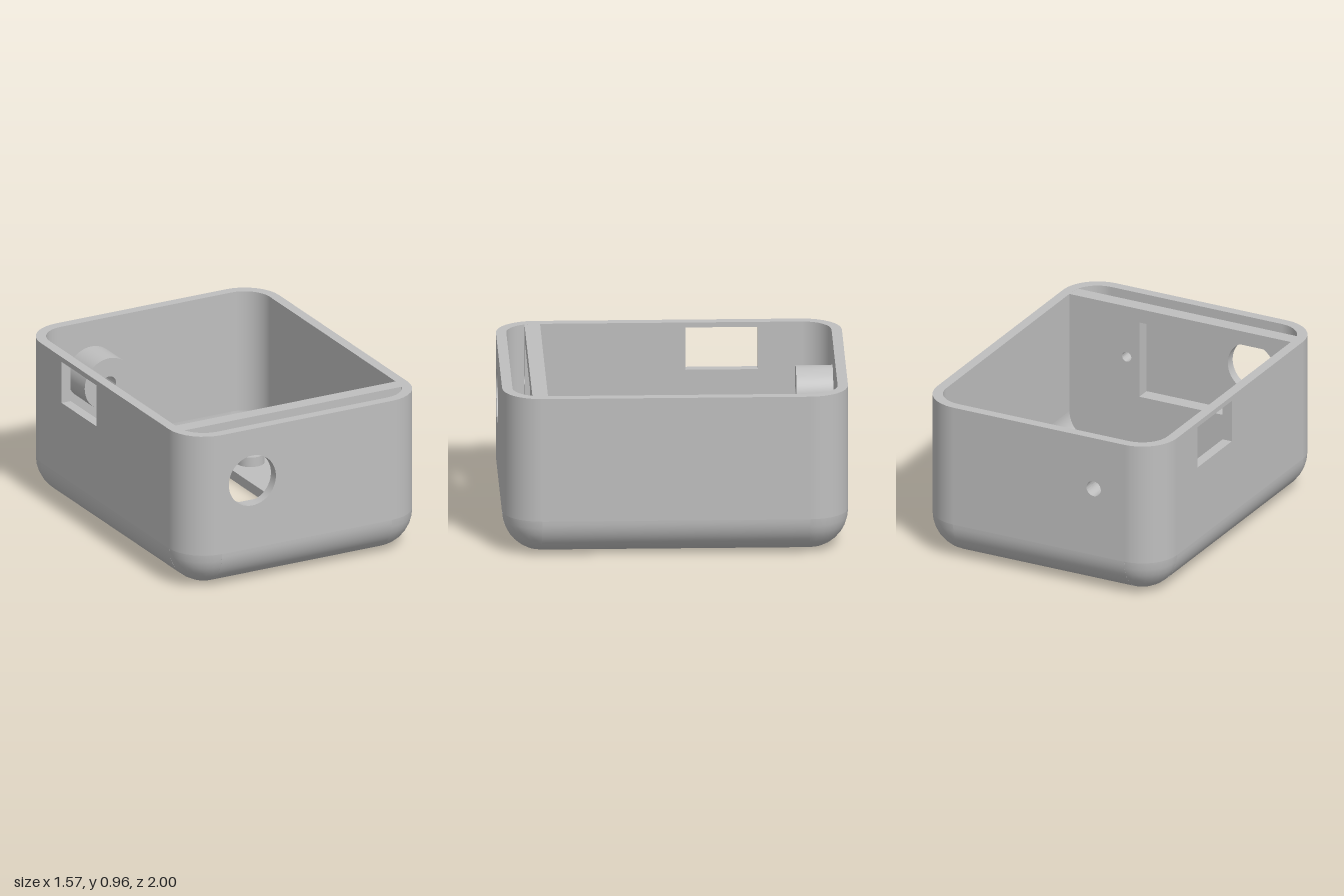
import * as THREE from 'three';
import { toCreasedNormals } from 'three/addons/utils/BufferGeometryUtils.js';

const HX = 0.785, HZ = 1, H = 0.965;   // half width, half depth, height
const T = 0.06, R = 0.225, RI = R - T; // wall thickness, outer and inner radius
const SEG = 8;

// Rectangle outline, with optional holes
function rect(x0, y0, x1, y1, Kind = THREE.Shape) {
  const s = new Kind();
  s.moveTo(x0, y0);
  s.lineTo(x1, y0);
  s.lineTo(x1, y1);
  s.lineTo(x0, y1);
  s.closePath();
  return s;
}

function disc(x, y, r, Kind = THREE.Path) {
  const s = new Kind();
  s.absarc(x, y, r, 0, Math.PI * 2, false);
  return s;
}

// Extruded slab with sharp edges and smooth curves
function slab(shape, depth, holes = [], segments = 24) {
  shape.holes.push(...holes);
  const g = new THREE.ExtrudeGeometry(shape, { depth, bevelEnabled: false, curveSegments: segments });
  return toCreasedNormals(g, 0.6);
}

export function createModel() {
  const model = new THREE.Group();
  model.name = 'enclosure';
  const grey = new THREE.MeshStandardMaterial({ color: 0xbfbfbf, side: THREE.DoubleSide });
  grey.name = 'grey plastic';

  const add = (name, geometry, x = 0, y = 0, z = 0, parent = model) => {
    const mesh = new THREE.Mesh(geometry, grey);
    mesh.name = name;
    mesh.position.set(x, y, z);
    parent.add(mesh);
    return mesh;
  };

  const fx = HX - R, fz = HZ - R; // half extents of the flat panels
  const portX = -0.36, portY = 0.645;

  // Flat walls
  add('frontWall', slab(rect(-fx, R, fx, H), T, [disc(portX, portY, 0.155)], 32), 0, 0, HZ - T);
  add('backWall', slab(rect(-fx, R, fx, H), T, [disc(portX, portY, 0.047)]), 0, 0, -HZ);
  add('leftWall', slab(rect(-fz, R, fz, H), T).rotateY(Math.PI / 2), HX - T);
  add('rightWall', slab(rect(-fz, R, fz, H), T, [rect(0.1, 0.68, 0.52, 0.935, THREE.Path)])
    .rotateY(Math.PI / 2), -HX);

  // Floor with its large opening
  add('floor', slab(rect(-fx, -fz, fx, fz), T, [rect(-0.23, -0.53, 0.325, 0.54, THREE.Path)])
    .rotateX(-Math.PI / 2));

  // Rounded bottom edges and rounded corners
  const outer = [], inner = [];
  for (let i = 0; i <= SEG; i++) {
    const a = (i / SEG) * Math.PI / 2;
    outer.push(new THREE.Vector2(R * Math.sin(a), R - R * Math.cos(a)));
    inner.unshift(new THREE.Vector2(RI * Math.sin(a), R - RI * Math.cos(a)));
  }
  outer.push(new THREE.Vector2(R, R + 0.001), new THREE.Vector2(R, H));
  inner.unshift(new THREE.Vector2(RI, H), new THREE.Vector2(RI, R + 0.001));
  const rim = [new THREE.Vector2(R, H), new THREE.Vector2(RI, H)];

  for (let k = 0; k < 4; k++) {
    const phi = k * Math.PI / 2;
    const [len, dist] = k % 2 ? [2 * fz, fx] : [2 * fx, fz];
    const sector = new THREE.Shape();
    sector.absarc(0, 0, R, Math.PI, 1.5 * Math.PI, false);
    sector.absarc(0, 0, RI, 1.5 * Math.PI, Math.PI, true);
    sector.closePath();
    const edge = slab(sector, len, [], SEG)
      .translate(0, 0, -len / 2)
      .rotateY(Math.PI / 2)
      .translate(0, R, dist)
      .rotateY(phi);
    add('bottomEdge', edge);

    const corner = new THREE.Group();
    corner.name = 'corner';
    const mid = phi + Math.PI / 4;
    corner.position.set(Math.sign(Math.sin(mid)) * fx, 0, Math.sign(Math.cos(mid)) * fz);
    for (const [name, profile] of [['cornerOuter', outer], ['cornerRim', rim], ['cornerInner', inner]]) {
      add(name, new THREE.LatheGeometry(profile, SEG, phi, Math.PI / 2), 0, 0, 0, corner);
    }
    model.add(corner);
  }

  // Divider behind the front wall, with a window and two screw holes
  const w = HX - T;
  const divider = new THREE.Shape();
  divider.moveTo(w, H - 0.0005);
  divider.lineTo(-w, H - 0.0005);
  divider.absarc(-fx, R, RI, Math.PI, 1.5 * Math.PI, false);
  divider.absarc(fx, R, RI, 1.5 * Math.PI, 2 * Math.PI, false);
  divider.closePath();
  add('divider', slab(divider, 0.09, [
    rect(-0.6, 0.41, 0.268, 0.88, THREE.Path),
    disc(0.35, portY, 0.03),
    disc(-0.682, portY, 0.03),
  ]), 0, 0, 0.74);

  // Hollow boss on the back wall
  add('backBoss', slab(disc(0, 0, 0.16, THREE.Shape), 0.215, [disc(0, 0, 0.047)]),
    portX, portY, -HZ + T - 0.002);

  // Screw posts on the floor
  for (const x of [-0.565, 0.48]) {
    for (const z of [-0.56, 0.55]) {
      add('screwPost', slab(disc(0, 0, 0.083, THREE.Shape), 0.06, [disc(0, 0, 0.035)])
        .rotateX(-Math.PI / 2), x, T - 0.001, z);
    }
  }
  return model;
}
